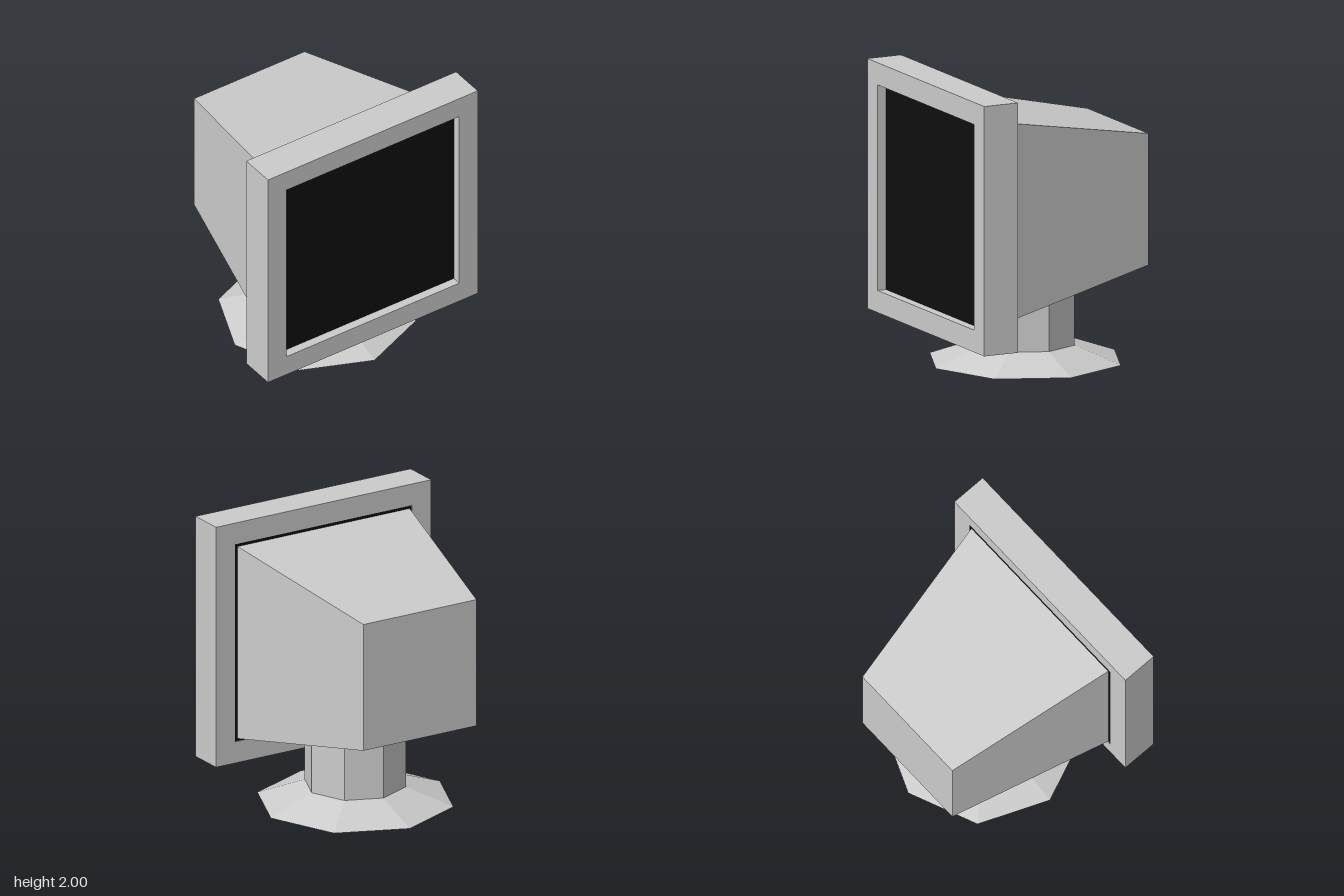
import * as THREE from 'three';

const CENTER_Y = 1.125;

export function createModel() {
  const model = new THREE.Group();
  model.name = 'monitor';
  const grey = new THREE.MeshStandardMaterial({ color: 0xcccccc, flatShading: true });
  const black = new THREE.MeshStandardMaterial({ color: 0x0f0f0f, flatShading: true });

  const add = (name, geometry, material, x, y, z) => {
    const mesh = new THREE.Mesh(geometry, material);
    mesh.name = name;
    mesh.position.set(x, y, z);
    model.add(mesh);
    return mesh;
  };
  const square = (path, r) =>
    path.moveTo(-r, -r).lineTo(r, -r).lineTo(r, r).lineTo(-r, r).closePath();

  // Bezel with a square opening
  const outline = square(new THREE.Shape(), 0.875);
  outline.holes.push(square(new THREE.Path(), 0.72));
  const bezel = new THREE.ExtrudeGeometry(outline, { depth: 0.26, bevelEnabled: false });
  add('bezel', bezel, grey, 0, CENTER_Y, 0.48);

  // Screen, set back slightly inside the bezel
  add('screen', new THREE.BoxGeometry(1.44, 1.44, 0.19), black, 0, CENTER_Y, 0.58);

  // Housing tapering towards the back
  const housing = new THREE.BoxGeometry(1.4, 1.4, 1.22);
  const p = housing.attributes.position;
  for (let i = 0; i < p.count; i++) {
    if (p.getZ(i) < 0) p.setXY(i, Math.sign(p.getX(i)) * 0.46, Math.sign(p.getY(i)) * 0.46);
  }
  housing.computeVertexNormals();
  add('housing', housing, grey, 0, CENTER_Y, -0.13);

  // Octagonal stand, a little off centre
  add('neck', new THREE.CylinderGeometry(0.355, 0.355, 0.5, 8), grey, 0.05, 0.37, 0);
  add('base', new THREE.CylinderGeometry(0.355, 0.687, 0.12, 8), grey, 0.05, 0.06, 0);

  return model;
}
